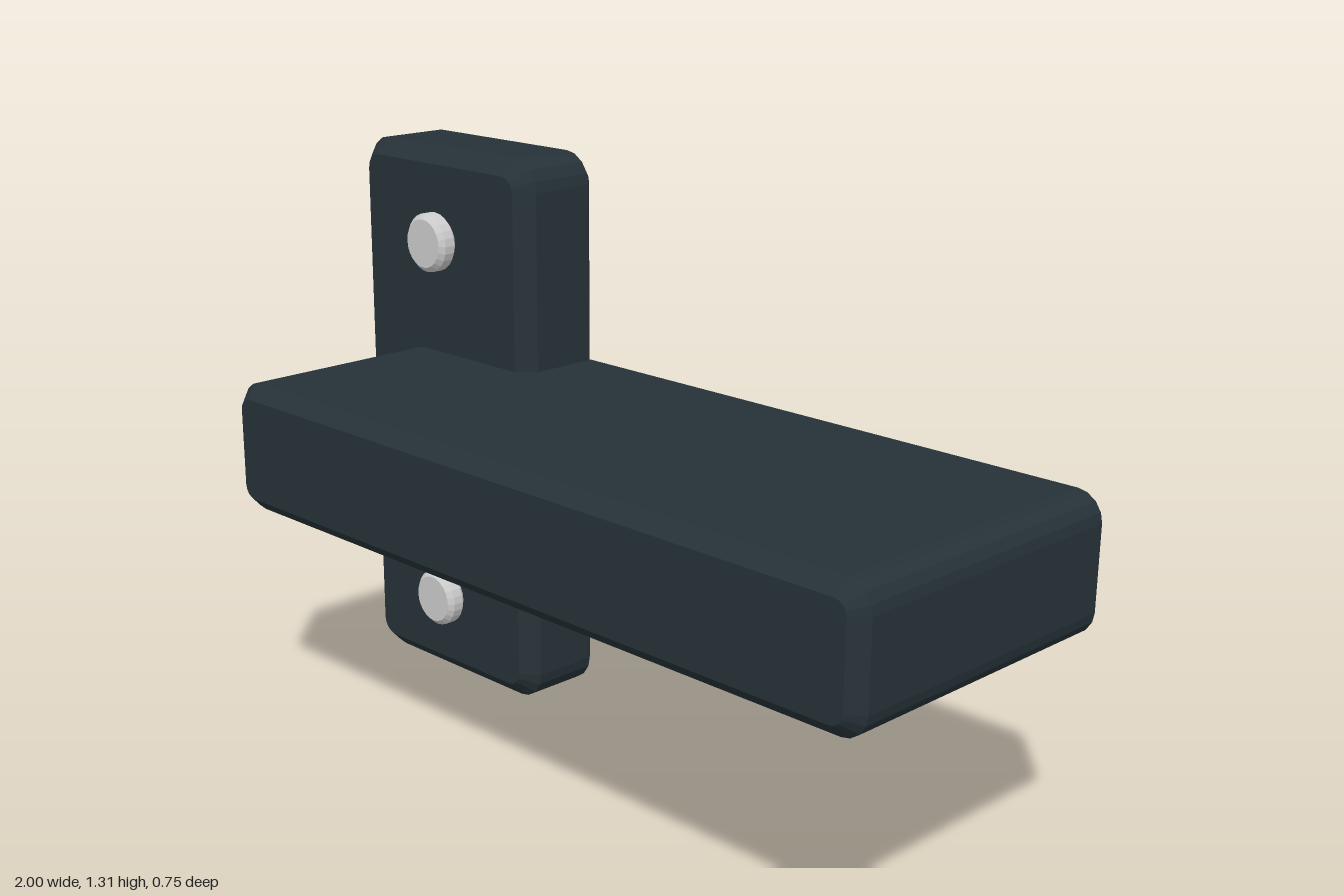
import * as THREE from 'three';

const darkPaint = new THREE.MeshStandardMaterial({ color: 0x263238 });
darkPaint.name = 'dark slate paint';
const steel = new THREE.MeshStandardMaterial({ color: 0xcccccc });
steel.name = 'light steel';

// Extrude a shape along z with a single chamfer, filling z0..z1
function chamferedExtrude(shape, z0, z1, bevel, curveSegments) {
  const geometry = new THREE.ExtrudeGeometry(shape, {
    depth: z1 - z0 - 2 * bevel,
    bevelThickness: bevel,
    bevelSize: bevel,
    bevelSegments: 1,
    curveSegments,
  });
  return geometry.translate(0, 0, z0 + bevel);
}

// Block with rounded corners; the bounds include the chamfer
function block(name, x0, x1, y0, y1, z0, z1, bevel, r) {
  const l = x0 + bevel, t = y1 - bevel, R = x1 - bevel, b = y0 + bevel;
  const s = new THREE.Shape();
  s.moveTo(l + r, b);
  s.lineTo(R - r, b);
  s.absarc(R - r, b + r, r, -Math.PI / 2, 0, false);
  s.lineTo(R, t - r);
  s.absarc(R - r, t - r, r, 0, Math.PI / 2, false);
  s.lineTo(l + r, t);
  s.absarc(l + r, t - r, r, Math.PI / 2, Math.PI, false);
  s.lineTo(l, b + r);
  s.absarc(l + r, b + r, r, Math.PI, Math.PI * 1.5, false);
  const mesh = new THREE.Mesh(chamferedExtrude(s, z0, z1, bevel, 2), darkPaint);
  mesh.name = name;
  return mesh;
}

export function createModel() {
  const model = new THREE.Group();
  model.name = 'wallBracketShelf';

  // Upright mounting plate and the shelf slab that passes through it
  model.add(block('mountingPlate', -1, -0.405, 0, 1.313, -0.375, -0.137, 0.038, 0.037));
  model.add(block('shelf', -0.828, 1, 0.53, 0.828, -0.374, 0.375, 0.031, 0.03));

  // Screw heads above and below the shelf
  [['upperScrew', 1.097], ['lowerScrew', 0.21]].forEach(([name, y]) => {
    const bevel = 0.012;
    const disc = new THREE.Shape();
    disc.absarc(0, 0, 0.069 - bevel, 0, Math.PI * 2, false);
    const screw = new THREE.Mesh(chamferedExtrude(disc, -0.137, -0.087, bevel, 12), steel);
    screw.name = name;
    screw.position.set(-0.703, y, 0);
    model.add(screw);
  });

  return model;
}
